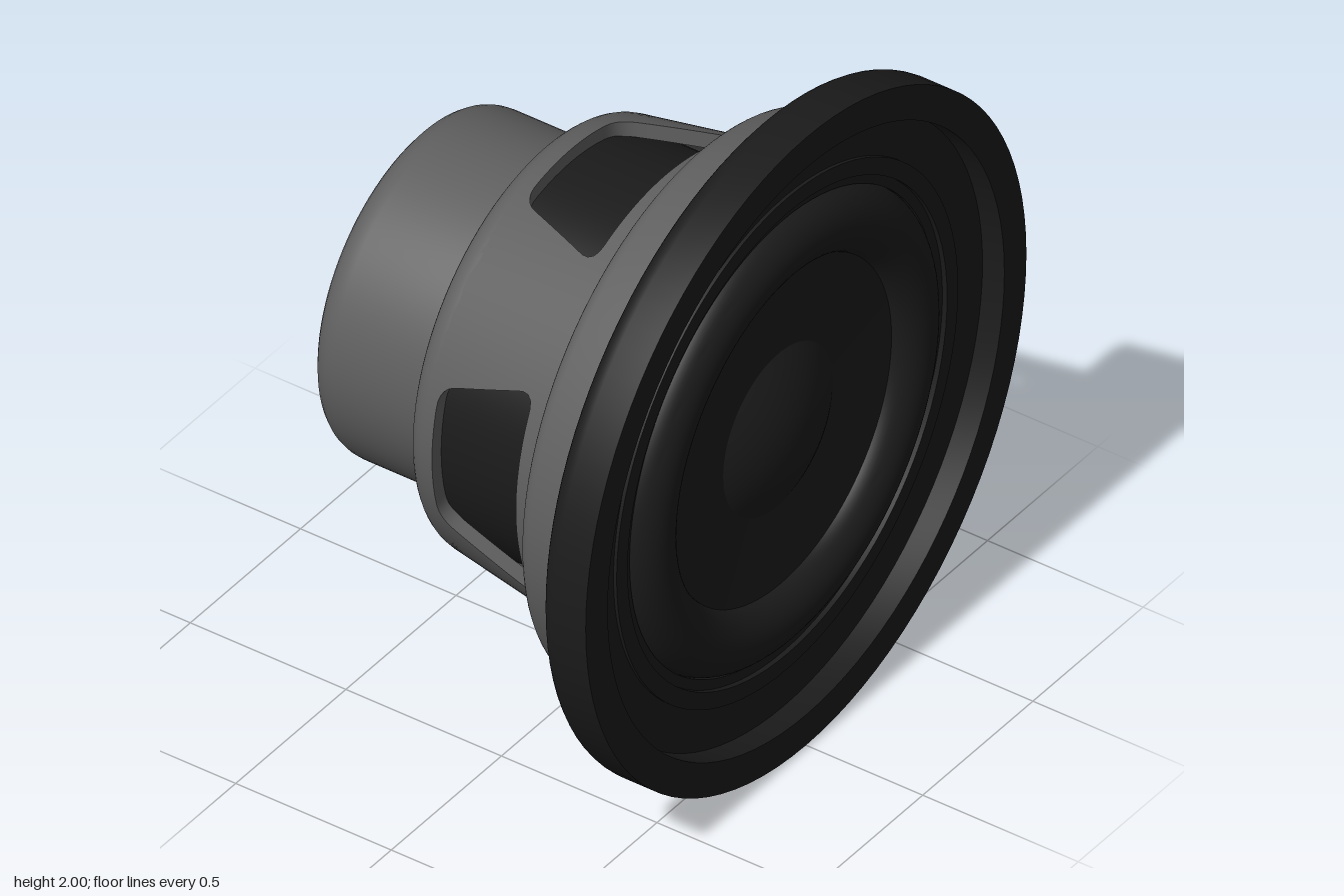
import * as THREE from 'three';
import { toCreasedNormals } from 'three/addons/utils/BufferGeometryUtils.js';

const SEG = 96;
const metal = new THREE.MeshStandardMaterial({ color: 0x5f5f5f, side: THREE.DoubleSide });
const rubber = new THREE.MeshStandardMaterial({ color: 0x1b1b1b, side: THREE.DoubleSide });

// Turn corners [radius, z, fillet] into a profile with rounded corners
function roundedProfile(corners) {
  const pts = [];
  corners.forEach(([r, z, f], i) => {
    const p = new THREE.Vector2(r, z);
    if (!f) { pts.push(p); return; }
    const toward = ([a, b]) => new THREE.Vector2(a, b).sub(p).setLength(f).add(p);
    const curve = new THREE.QuadraticBezierCurve(toward(corners[i - 1]), p, toward(corners[i + 1]));
    pts.push(...curve.getPoints(6));
  });
  return pts;
}

// Part turned about the z axis
function turned(name, points, material) {
  const geo = toCreasedNormals(new THREE.LatheGeometry(points, SEG).rotateX(Math.PI / 2), 0.5);
  const mesh = new THREE.Mesh(geo, material);
  mesh.name = name;
  return mesh;
}

// Tapered basket wall
const SLOPE = 0.165, WALL = 0.045, Z0 = -0.16, Z1 = 0.25;
const wallRadius = z => 0.653 + SLOPE * z;

// Window outline: trapezium with rounded corners, as (x, z)
function windowOutline() {
  const c = [[-0.215, -0.13], [0.215, -0.13], [0.335, 0.175], [-0.335, 0.175]].map(p => new THREE.Vector2(...p));
  const shape = new THREE.Shape();
  c.forEach((p, i) => {
    const toward = q => q.clone().sub(p).setLength(0.055).add(p);
    const a = toward(c[(i + 3) % 4]), b = toward(c[(i + 1) % 4]);
    if (i) shape.lineTo(a.x, a.y); else shape.moveTo(a.x, a.y);
    shape.quadraticCurveTo(p.x, p.y, b.x, b.y);
  });
  shape.closePath();
  return shape.getSpacedPoints(SEG).slice(0, SEG);
}

// Surface through closed loops of points
function loopSurface(loops, normals) {
  const n = loops[0].length, index = [];
  for (let j = 0; j < loops.length - 1; j++) {
    for (let i = 0; i < n; i++) {
      const k = (i + 1) % n, a = j * n + i, b = j * n + k;
      index.push(a, a + n, b, b, a + n, b + n);
    }
  }
  const geo = new THREE.BufferGeometry().setFromPoints(loops.flat());
  geo.setIndex(index);
  if (normals) geo.setAttribute('normal', new THREE.Float32BufferAttribute(normals.flatMap(v => v.toArray()), 3));
  else geo.computeVertexNormals();
  return geo;
}

// One quarter of the basket wall, with a window facing +y
function basketQuarter() {
  const outline = windowOutline();
  const half = Math.PI / 4, zc = (Z0 + Z1) / 2, hz = (Z1 - Z0) / 2;
  // Matching points on the panel border
  const border = outline.map(p => {
    const t = Math.asin(p.x / wallRadius(p.y)), z = p.y - zc;
    const s = 1 / Math.max(Math.abs(t) / half, Math.abs(z) / hz);
    return new THREE.Vector2(t * s, zc + z * s);
  });
  for (const t of [-half, half]) {
    for (const z of [Z0, Z1]) {
      const corner = new THREE.Vector2(t, z);
      const near = border.reduce((m, p) => (p.distanceTo(corner) < m.distanceTo(corner) ? p : m));
      near.copy(corner);
    }
  }
  const group = new THREE.Group();
  const add = (name, geo) => {
    const mesh = new THREE.Mesh(geo, metal);
    mesh.name = name;
    group.add(mesh);
  };
  const edges = [];
  for (const inset of [0, WALL]) {
    const loops = [], normals = [], dir = inset ? -1 : 1;
    for (let j = 0; j <= 8; j++) {
      loops.push(outline.map((p, i) => {
        const start = Math.asin(p.x / (wallRadius(p.y) - inset));
        const t = THREE.MathUtils.lerp(start, border[i].x, j / 8);
        const z = THREE.MathUtils.lerp(p.y, border[i].y, j / 8);
        const r = wallRadius(z) - inset;
        normals.push(new THREE.Vector3(Math.sin(t), Math.cos(t), -SLOPE).normalize().multiplyScalar(dir));
        return new THREE.Vector3(r * Math.sin(t), r * Math.cos(t), z);
      }));
    }
    edges.push(loops[0]);
    // Reverse the loop order so each face points away from the wall
    if (inset) {
      loops.reverse();
      const flipped = [];
      for (let j = 8; j >= 0; j--) flipped.push(...normals.slice(j * SEG, (j + 1) * SEG));
      add('basketInnerWall', loopSurface(loops, flipped));
    } else add('basketOuterWall', loopSurface(loops, normals));
  }
  add('windowEdge', loopSurface([edges[1], edges[0]]));
  return group;
}

export function createModel() {
  const model = new THREE.Group();
  const speaker = new THREE.Group();
  speaker.name = 'speaker';
  speaker.position.y = 1;
  model.add(speaker);

  // Magnet housing and solid basket sections, with small tabs under the windowed wall
  speaker.add(
    turned('magnetHousing', roundedProfile([[0, -0.625], [0.5, -0.625, 0.08], [0.5, -0.2]]), metal),
    turned('basketBack', roundedProfile([
      [0.45, -0.222], [wallRadius(-0.222), -0.222, 0.05], [wallRadius(Z0), Z0], [wallRadius(Z0 + 0.02) - 0.002, Z0 + 0.02],
    ]), metal),
    turned('basketShoulder', roundedProfile([
      [wallRadius(Z1 - 0.02) - 0.002, Z1 - 0.02], [wallRadius(Z1), Z1], [wallRadius(0.277), 0.277],
      [0.818, 0.277, 0.04], [0.85, 0.48],
    ]), metal),
  );

  // Windowed basket wall
  for (let i = 0; i < 4; i++) {
    const quarter = basketQuarter();
    quarter.name = 'basketQuarter' + (i + 1);
    quarter.rotation.z = i * Math.PI / 2;
    speaker.add(quarter);
  }

  // Dark core seen through the windows
  speaker.add(turned('innerCore', roundedProfile([[0.59, -0.21], [0.59, 0.5]]), rubber));

  // Mounting rim with recessed front
  speaker.add(turned('mountingRim', roundedProfile([
    [0.8, 0.475], [1, 0.475, 0.05], [1, 0.625], [0.9, 0.625], [0.9, 0.555],
    [0.775, 0.555], [0.775, 0.565], [0.725, 0.565], [0.725, 0.55], [0.695, 0.55], [0.695, 0.51],
  ]), rubber));

  // Half-roll surround
  const roll = [];
  for (let i = 0; i <= 24; i++) {
    const a = Math.PI * i / 24;
    roll.push(new THREE.Vector2(0.597 + 0.1 * Math.cos(a), 0.52 + 0.085 * Math.sin(a)));
  }
  speaker.add(turned('surround', roll, rubber));

  // Cone and domed dust cap
  speaker.add(turned('cone', roundedProfile([[0.51, 0.545], [0.24, 0.535]]), rubber));
  const dome = [];
  for (let i = 0; i <= 12; i++) {
    const r = 0.25 * (1 - i / 12);
    dome.push(new THREE.Vector2(r, 0.535 + 0.07 * (1 - (r / 0.25) ** 2)));
  }
  speaker.add(turned('dustCap', dome, rubber));

  return model;
}
